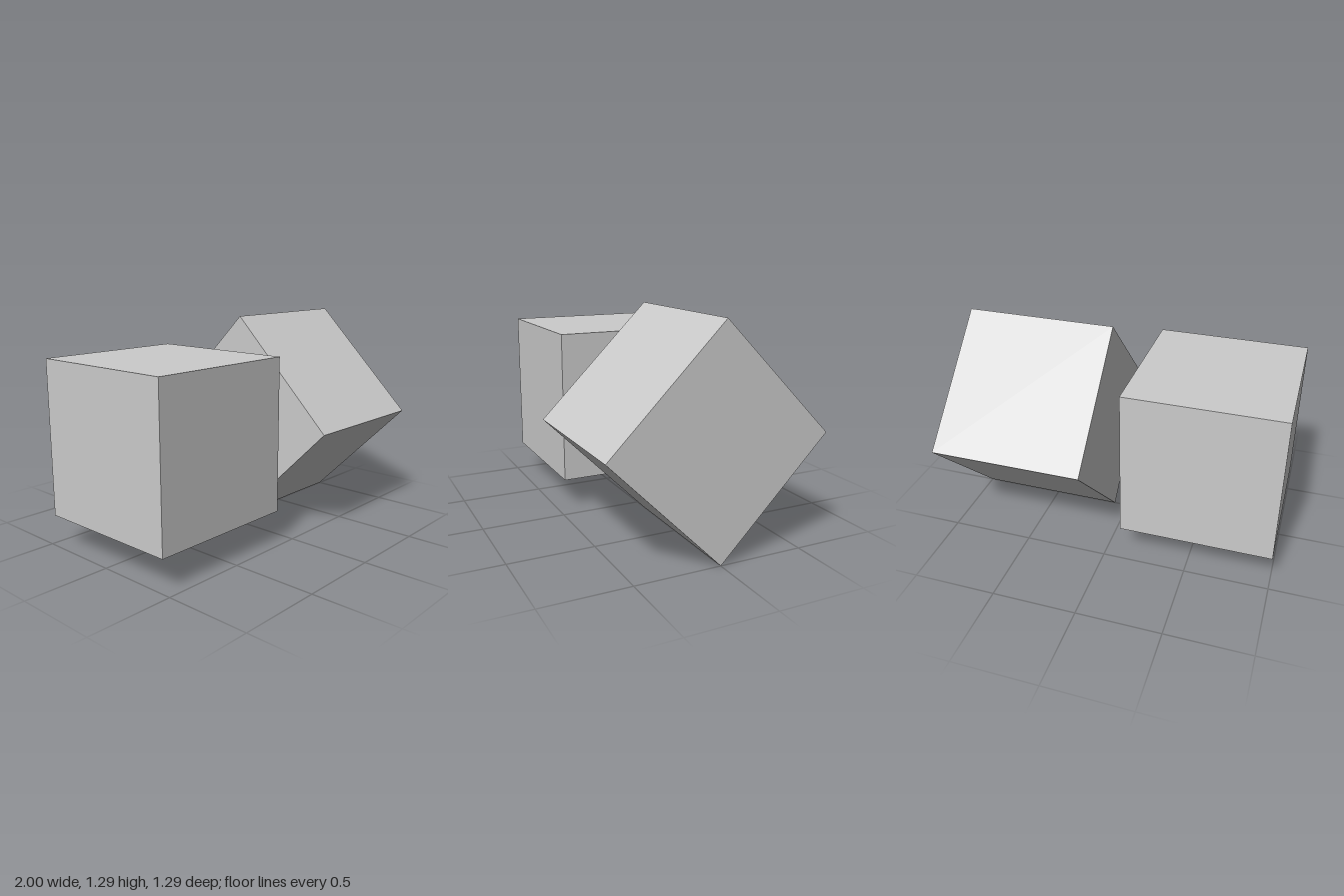
import * as THREE from 'three';

const SIDE = 10 / 11; // cube edge
const CENTRE_X = 1 - SIDE / 2;
const CENTRE_Y = SIDE * Math.SQRT1_2; // half diagonal, so the tilted cube rests on its edge

export function createModel() {
  const group = new THREE.Group();
  const geometry = new THREE.BoxGeometry(SIDE, SIDE, SIDE);
  const material = new THREE.MeshStandardMaterial({ color: 0xcccccc, flatShading: true });

  const addCube = (name, x, tilt) => {
    const cube = new THREE.Mesh(geometry, material);
    cube.name = name;
    cube.position.set(x, CENTRE_Y, 0);
    cube.rotation.x = tilt;
    group.add(cube);
  };

  // Upright cube on the right, cube turned 45 degrees about x on the left
  addCube('uprightCube', -CENTRE_X, 0);
  addCube('tiltedCube', CENTRE_X, Math.PI / 4);

  return group;
}
